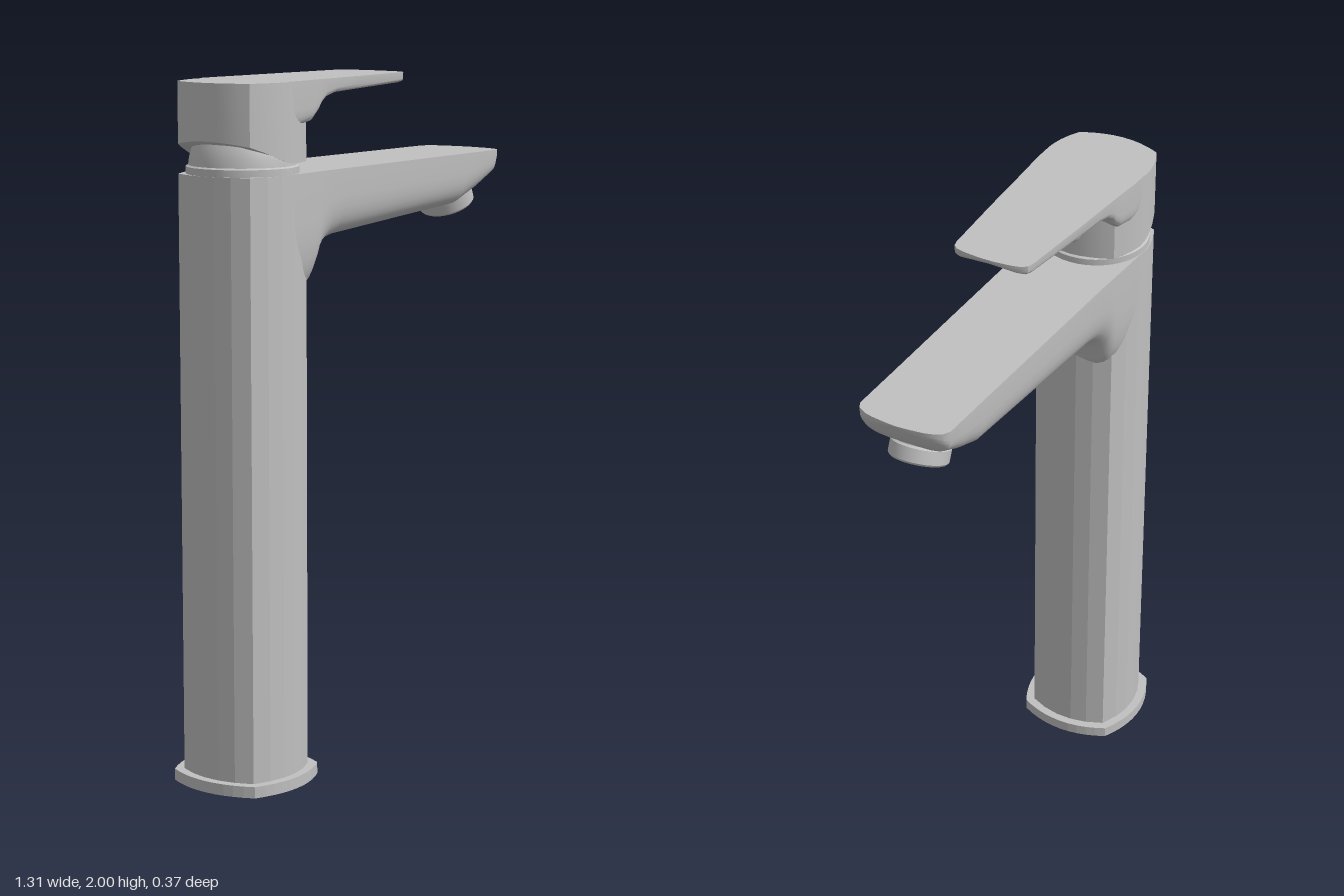
import * as THREE from 'three';
import { toCreasedNormals } from 'three/addons/utils/BufferGeometryUtils.js';

const AXIS_X = -0.47; // centre line of the column

// Square outline with four bulging sides
function bulgedSquare(half, steps = 5) {
  const corner = half * 0.79;
  const points = [];
  for (let side = 0; side < 4; side++) {
    for (let i = 0; i < steps; i++) {
      const t = -1 + (2 * i) / steps;
      const p = new THREE.Vector2(half - (half - corner) * t * t, corner * t);
      points.push(p.rotateAround(new THREE.Vector2(), (side * Math.PI) / 2));
    }
  }
  return new THREE.Shape(points);
}

// Upright prism standing at height y on the column axis
function prism(shape, y, height) {
  return new THREE.ExtrudeGeometry(shape, { depth: height, bevelEnabled: false, curveSegments: 24 })
    .rotateX(-Math.PI / 2)
    .translate(AXIS_X, y, 0);
}

// Flat-topped arm along x; stations are [x, half width, bottom height]
function arm(stations, top, power, arch) {
  const n = 20;
  const positions = [];
  const index = [];
  for (const [x, w, bottom] of stations) {
    for (let j = 0; j <= n; j++) {
      const a = (j / n) * Math.PI;
      const c = Math.cos(a);
      const s = Math.max(0, Math.sin(a));
      const z = Math.sign(c) * Math.abs(c) ** power;
      const y = top - (top - bottom) * s ** power;
      positions.push(x, y + arch * (1 - z * z) * (top - bottom) * s, z * w);
    }
  }
  const ring = n + 1;
  for (let i = 0; i < stations.length - 1; i++) {
    for (let j = 0; j < ring; j++) {
      const a = i * ring + j;
      const b = i * ring + ((j + 1) % ring);
      index.push(a, b, a + ring, b, b + ring, a + ring);
    }
  }
  const last = (stations.length - 1) * ring;
  for (let j = 1; j < n; j++) index.push(last, last + j, last + j + 1);
  const geometry = new THREE.BufferGeometry();
  geometry.setAttribute('position', new THREE.Float32BufferAttribute(positions, 3));
  geometry.setIndex(index);
  return toCreasedNormals(geometry, 0.6);
}

function lathe(profile) {
  const points = profile.map(([r, y]) => new THREE.Vector2(r, y));
  return toCreasedNormals(new THREE.LatheGeometry(points, 40), 0.5);
}

export function createModel() {
  const model = new THREE.Group();
  model.name = 'tallBasinTap';
  const metal = new THREE.MeshStandardMaterial({ color: 0xc0c0c0 });
  metal.name = 'brushed metal';

  function add(name, geometry) {
    const mesh = new THREE.Mesh(geometry, metal);
    mesh.name = name;
    model.add(mesh);
    return mesh;
  }

  // Foot plate with the supply hole
  const foot = bulgedSquare(0.185, 10);
  foot.holes.push(new THREE.Path().absarc(0, 0, 0.088, 0, Math.PI * 2, true));
  add('footPlate', prism(foot, 0, 0.033));

  // Column
  add('column', prism(bulgedSquare(0.16), 0.033, 1.711));

  // Spout with a fillet under its root and a slanting, rounded nose
  add('spout', arm([
    [-0.47, 0.159, 1.39],
    [-0.36, 0.156, 1.39],
    [-0.325, 0.155, 1.41],
    [-0.308, 0.154, 1.44],
    [-0.295, 0.154, 1.48],
    [-0.27, 0.153, 1.515],
    [-0.24, 0.152, 1.535],
    [-0.19, 0.151, 1.547],
    [0.1, 0.147, 1.565],
    [0.43, 0.142, 1.585],
    [0.52, 0.141, 1.62],
    [0.6, 0.14, 1.662],
    [0.62, 0.13, 1.69],
    [0.635, 0.105, 1.715],
    [0.642, 0.08, 1.727],
    [0.648, 0.035, 1.738],
    [0.65, 0.008, 1.743],
  ], 1.745, 0.5, 0));

  // Tilted outlet with a recessed mesh face
  const outlet = add('outlet', lathe([
    [0, 0.015], [0.066, 0.015], [0.066, 0], [0.08, 0], [0.085, 0.006],
    [0.085, 0.045], [0.078, 0.05], [0.078, 0.1], [0, 0.1],
  ]));
  outlet.position.set(0.54, 1.575, 0);
  outlet.rotation.z = 0.41;

  // Round neck between column and handle
  add('neck', lathe([
    [0.158, 1.744], [0.158, 1.764], [0.151, 1.768], [0.148, 1.79],
    [0.14, 1.82], [0.125, 1.85], [0, 1.87],
  ])).position.x = AXIS_X;

  // Handle block, its underside cut upward at the back
  const block = prism(bulgedSquare(0.16, 8), 1.775, 0.224);
  const p = block.attributes.position;
  for (let i = 0; i < p.count; i++) {
    if (p.getY(i) < 1.8) p.setY(i, 1.775 + Math.max(0, -0.46 - p.getX(i)) * 0.38);
  }
  add('handleBlock', toCreasedNormals(block, 0.3));

  // Lever blade with a slightly hollow underside
  add('lever', arm([
    [-0.47, 0.159, 1.86],
    [-0.4, 0.158, 1.86],
    [-0.34, 0.153, 1.87],
    [-0.312, 0.151, 1.895],
    [-0.295, 0.15, 1.92],
    [-0.27, 0.148, 1.94],
    [-0.22, 0.145, 1.953],
    [-0.1, 0.137, 1.958],
    [0.12, 0.12, 1.966],
    [0.14, 0.115, 1.968],
    [0.153, 0.1, 1.975],
    [0.16, 0.07, 1.984],
    [0.165, 0.02, 1.995],
  ], 2, 0.3, 0.25));

  // Round cap on the front of the handle block
  const cap = add('screwCap', lathe([
    [0.035, 0], [0.035, 0.02], [0.028, 0.028], [0, 0.031],
  ]));
  cap.position.set(-0.322, 1.85, 0);
  cap.rotation.z = -Math.PI / 2;

  return model;
}
